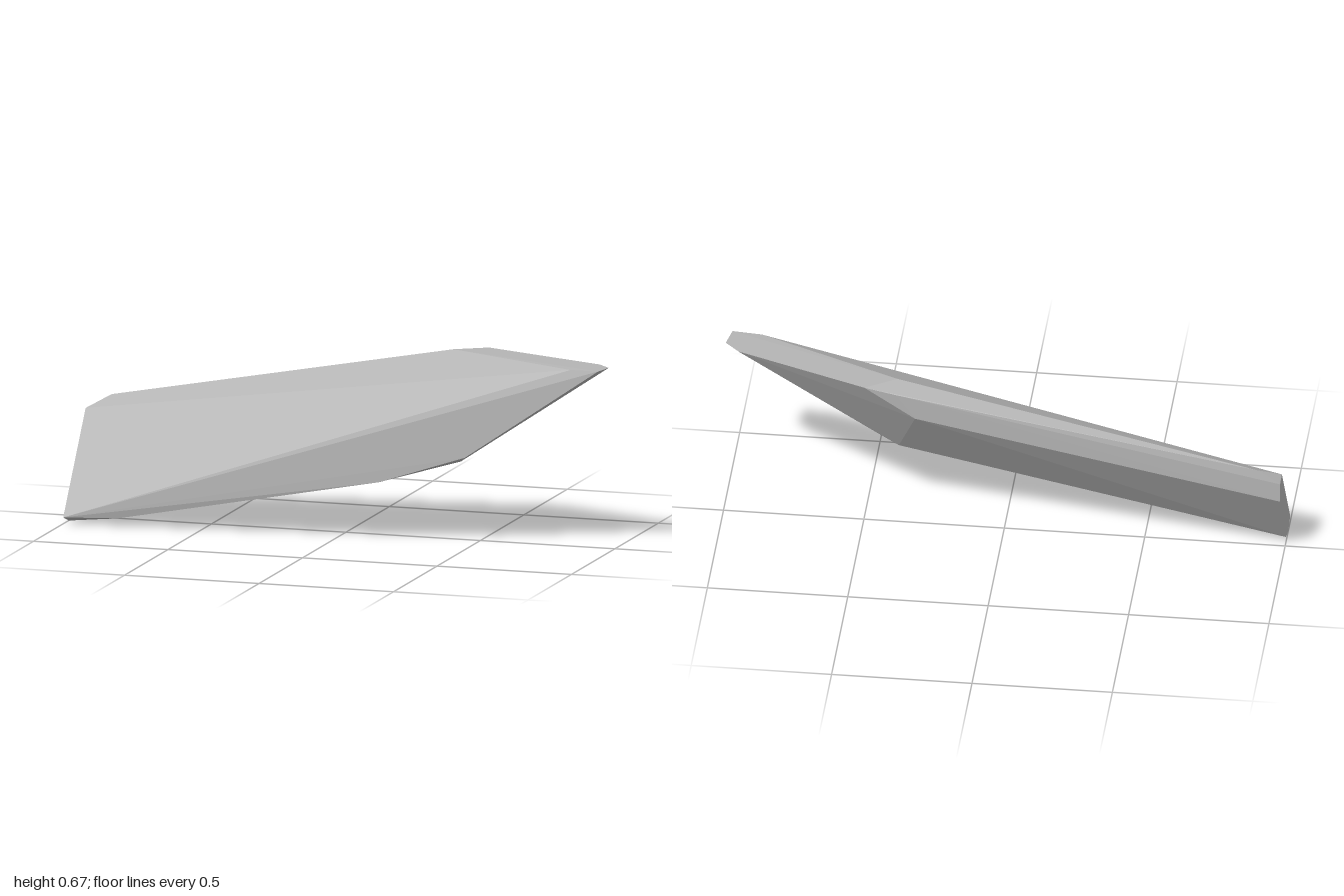
import * as THREE from 'three';
import { ConvexGeometry } from 'three/addons/geometries/ConvexGeometry.js';

export function createModel() {
  const stone = new THREE.MeshStandardMaterial({ color: 0xb4b4b4 });
  stone.name = 'pale grey stone';

  // flat blunt end
  const bluntEnd = [
    [-1, 0.37, -0.1], [-1, 0.365, -0.157], [-1, 0.29, -0.155],
    [-1, 0.023, 0.023], [-1, 0.0, 0.095], [-1, 0.023, 0.158],
  ];
  // chipped corners behind the blunt end
  const chips = [[-0.92, 0.415, -0.152], [-0.8, 0.03, 0.15]];
  // level cap at the pointed end
  const cap = [
    [0.37, 0.665, -0.09], [0.48, 0.665, -0.16], [0.95, 0.665, 0.02],
    [1, 0.665, 0.07], [0.985, 0.665, 0.147], [0.88, 0.663, 0.14],
  ];
  // lower rim of the sloping point
  const rim = [
    [0.37, 0.643, -0.161], [0.3, 0.545, -0.157], [0.38, 0.297, 0.04],
    [0.46, 0.301, 0.1], [0.49, 0.325, 0.152], [0.17, 0.218, 0.152],
  ];

  const points = [...bluntEnd, ...chips, ...cap, ...rim].map(p => new THREE.Vector3(...p));
  const shard = new THREE.Mesh(new ConvexGeometry(points), stone);
  shard.name = 'stoneShard';

  const group = new THREE.Group();
  group.name = 'shard';
  group.add(shard);
  return group;
}
